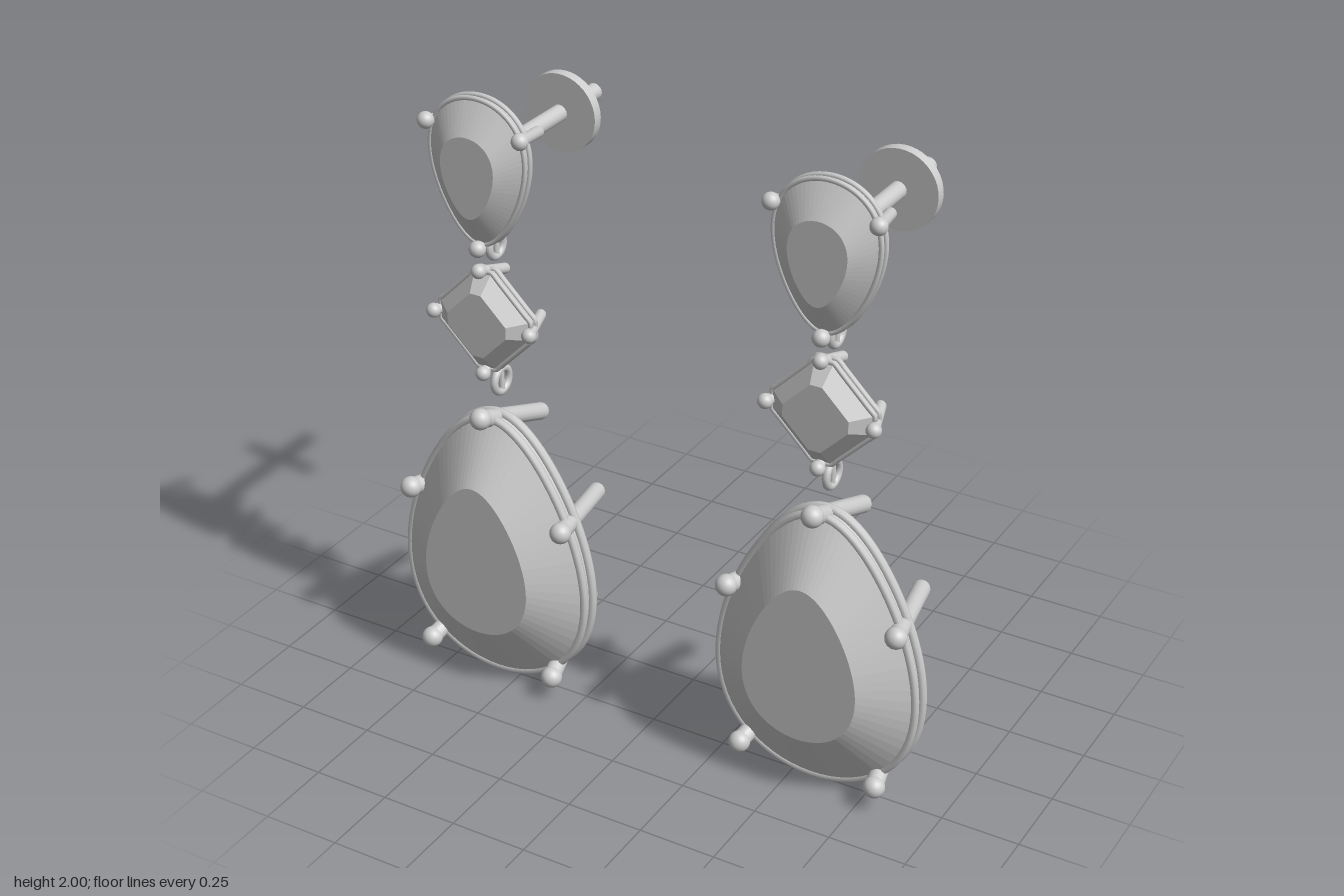
import * as THREE from 'three';

const silver = new THREE.MeshStandardMaterial({ color: 0xcccccc });
silver.name = 'silver';
const stoneGrey = new THREE.MeshStandardMaterial({ color: 0xcccccc, flatShading: true });
stoneGrey.name = 'stone grey';

function add(parent, geometry, name, material = silver) {
  const mesh = new THREE.Mesh(geometry, material);
  mesh.name = name;
  parent.add(mesh);
  return mesh;
}

// Teardrop outline, counter-clockwise; sign -1 turns the point downwards
function pearPoint(t, size, sign) {
  return new THREE.Vector2(
    -sign * size * Math.sin(t) * (0.327 - 0.091 * Math.cos(t)),
    sign * size * 0.473 * Math.cos(t)
  );
}
function pearOutline(size, sign) {
  return Array.from({ length: 72 }, (_, i) => pearPoint((i / 72) * Math.PI * 2, size, sign));
}

// Square on its corner with the four corners cut off
function diamondOutline(r, c) {
  return [[r, -c], [r, c], [c, r], [-c, r], [-r, c], [-r, -c], [-c, -r], [c, -r]]
    .map(([x, y]) => new THREE.Vector2(x, y));
}

// Faceted stone lofted through [z, scale] levels from back to front
function stoneGeometry(outline, levels) {
  const pos = [];
  const n = outline.length;
  const point = ([z, s], j) => [outline[j % n].x * s, outline[j % n].y * s, z];
  for (let i = 0; i < levels.length - 1; i++) {
    const lo = levels[i], hi = levels[i + 1];
    for (let j = 0; j < n; j++) {
      const a = point(lo, j), b = point(lo, j + 1), c = point(hi, j + 1), d = point(hi, j);
      if (lo[1] > 0) pos.push(...a, ...b, ...(hi[1] > 0 ? c : d));
      if (hi[1] > 0) pos.push(...a, ...c, ...d);
    }
  }
  const g = new THREE.BufferGeometry();
  g.setAttribute('position', new THREE.Float32BufferAttribute(pos, 3));
  g.computeVertexNormals();
  return g;
}

// Wire loop that follows a scaled outline
function wireGeometry(outline, scale, z, radius) {
  const pts = [];
  const steps = outline.length < 10 ? 6 : 1;
  outline.forEach((p, j) => {
    const q = outline[(j + 1) % outline.length];
    for (let k = 0; k < steps; k++) {
      const v = p.clone().lerp(q, k / steps).multiplyScalar(scale);
      pts.push(new THREE.Vector3(v.x, v.y, z));
    }
  });
  return new THREE.TubeGeometry(new THREE.CatmullRomCurve3(pts, true), 96, radius, 8, true);
}

// Round rod between two points
function rod(parent, a, b, radius, name) {
  const mesh = add(parent, new THREE.CylinderGeometry(radius, radius, a.distanceTo(b), 16), name);
  mesh.position.copy(a).add(b).multiplyScalar(0.5);
  mesh.quaternion.setFromUnitVectors(new THREE.Vector3(0, 1, 0), b.clone().sub(a).normalize());
}

// Claw leaning in towards the back, with a bead on the stone side
function prong(parent, x, y, zFront, zBack, radius, bead) {
  const front = new THREE.Vector3(x, y, zFront);
  const back = new THREE.Vector3(x * 0.73, y * 0.73, zBack);
  rod(parent, front, back, radius, 'prong');
  add(parent, new THREE.SphereGeometry(bead, 20, 14), 'prongBead').position.copy(front);
  add(parent, new THREE.SphereGeometry(radius, 16, 10), 'prongEnd').position.copy(back);
}

// A stone with its wire basket and prongs
function setting(name, y, o) {
  const g = new THREE.Group();
  g.name = name;
  g.position.y = y;
  add(g, stoneGeometry(o.outline, o.levels), name + 'Stone', stoneGrey);
  for (const [scale, z, r] of o.wires) add(g, wireGeometry(o.outline, scale, z, r), 'settingWire');
  for (const [x, py] of o.prongs) prong(g, x, py, ...o.prongSize);
  return g;
}

// Small jump ring hanging between two settings
function link(parent, y, radius) {
  const ring = add(parent, new THREE.TorusGeometry(radius, 0.013, 10, 28), 'linkRing');
  ring.rotation.y = Math.PI / 2;
  ring.position.set(0, y, 0.19);
  rod(parent, new THREE.Vector3(0, y - radius, 0.19), new THREE.Vector3(0, y + radius, 0.19), 0.01, 'linkBar');
}

function earring() {
  const g = new THREE.Group();
  g.name = 'earring';

  // Large teardrop
  g.add(setting('largeDrop', 0.478, {
    outline: pearOutline(0.968, 1),
    levels: [[-0.035, 0], [0.215, 1], [0.268, 1], [0.378, 0.575], [0.378, 0]],
    wires: [[1, 0.262, 0.014], [1.005, 0.217, 0.016], [0.63, 0.105, 0.016]],
    prongs: [[0, 0.48], [-0.28, 0.157], [0.28, 0.157], [-0.23, -0.396], [0.23, -0.396]],
    prongSize: [0.312, -0.018, 0.028, 0.034],
  }));

  // Middle square stone
  g.add(setting('middleSquare', 1.277, {
    outline: diamondOutline(0.163, 0.03),
    levels: [[0.14, 0], [0.235, 1], [0.262, 1], [0.31, 0.64], [0.31, 0]],
    wires: [[1, 0.262, 0.008], [1, 0.238, 0.009], [0.63, 0.2, 0.011]],
    prongs: [[0, 0.172], [0, -0.172], [0.172, 0], [-0.172, 0]],
    prongSize: [0.287, 0.15, 0.017, 0.023],
  }));

  // Upper teardrop, point down
  g.add(setting('upperDrop', 1.762, {
    outline: pearOutline(0.487, -1),
    levels: [[0.12, 0], [0.24, 1], [0.268, 1], [0.325, 0.56], [0.325, 0]],
    wires: [[1, 0.267, 0.008], [1.005, 0.242, 0.009], [0.63, 0.185, 0.012]],
    prongs: [[0, -0.24], [-0.164, 0.138], [0.164, 0.138]],
    prongSize: [0.287, 0.125, 0.018, 0.026],
  }));

  link(g, 1.497, 0.036);
  link(g, 1.04, 0.039);

  // Ear post and backing disc
  rod(g, new THREE.Vector3(0, 1.79, 0.145), new THREE.Vector3(0, 1.79, -0.378), 0.027, 'earPost');
  const disc = add(g, new THREE.CylinderGeometry(0.127, 0.127, 0.034, 40), 'backingDisc');
  disc.rotation.x = Math.PI / 2;
  disc.position.set(0, 1.79, -0.193);
  return g;
}

export function createModel() {
  const model = new THREE.Group();
  model.name = 'dropEarrings';
  for (const side of [-1, 1]) {
    const e = earring();
    e.name = side < 0 ? 'rightEarring' : 'leftEarring';
    e.position.x = side * 0.572;
    model.add(e);
  }
  return model;
}
